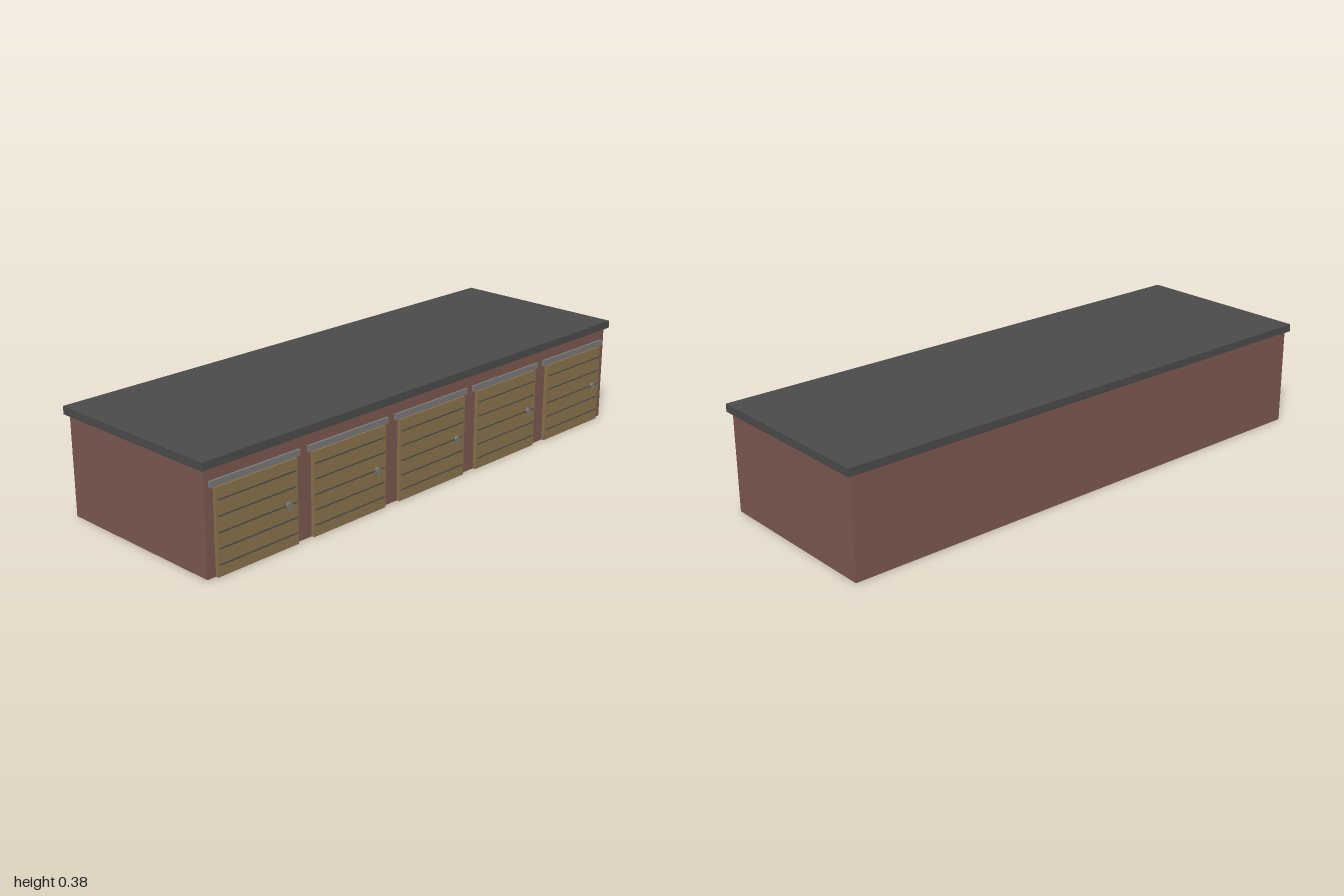
import * as THREE from 'three';

const mat = (color) => new THREE.MeshStandardMaterial({ color });

export function createModel() {
  const model = new THREE.Group();
  model.name = 'garageRow';

  const brick = mat(0x7a564e);
  const roofing = mat(0x4a4a4b);
  const wood = mat(0x87704a);
  const seam = mat(0x4c4c4a);
  const steel = mat(0x777777);

  // Box given by its centre x, width and its y and z ranges
  const box = (parent, name, material, x, w, y0, y1, z0, z1) => {
    const mesh = new THREE.Mesh(new THREE.BoxGeometry(w, y1 - y0, z1 - z0), material);
    mesh.position.set(x, (y0 + y1) / 2, (z0 + z1) / 2);
    mesh.name = name;
    parent.add(mesh);
    return mesh;
  };

  // Five joined bays under one flat roof
  const bays = 5, pitch = 0.394, front = 0.326;
  box(model, 'roof', roofing, 0, 2, 0.355, 0.383, -0.345, 0.339);

  for (let i = 0; i < bays; i++) {
    const bay = new THREE.Group();
    bay.name = `bay${i + 1}`;
    bay.position.x = (i - (bays - 1) / 2) * pitch;
    model.add(bay);

    box(bay, 'walls', brick, 0, pitch, 0, 0.355, -0.333, front);
    box(bay, 'door', wood, 0, 0.328, 0, 0.29, front, 0.337);
    box(bay, 'lintel', steel, 0, 0.36, 0.292, 0.313, front, 0.334);

    // Horizontal strips across the door
    for (let j = 0; j < 5; j++) {
      const y = 0.04 + j * 0.0525;
      box(bay, 'doorStrip', seam, 0, 0.312, y - 0.002, y + 0.002, 0.3365, 0.34);
    }

    // Handle: round knob with a small hanging lever
    const knob = new THREE.Mesh(new THREE.CylinderGeometry(0.0105, 0.0105, 0.008, 16), steel);
    knob.name = 'handleKnob';
    knob.rotation.x = Math.PI / 2;
    knob.position.set(0.123, 0.1455, 0.341);
    bay.add(knob);
    box(bay, 'handleLever', steel, 0.123, 0.007, 0.127, 0.147, 0.342, 0.346);
  }
  return model;
}
